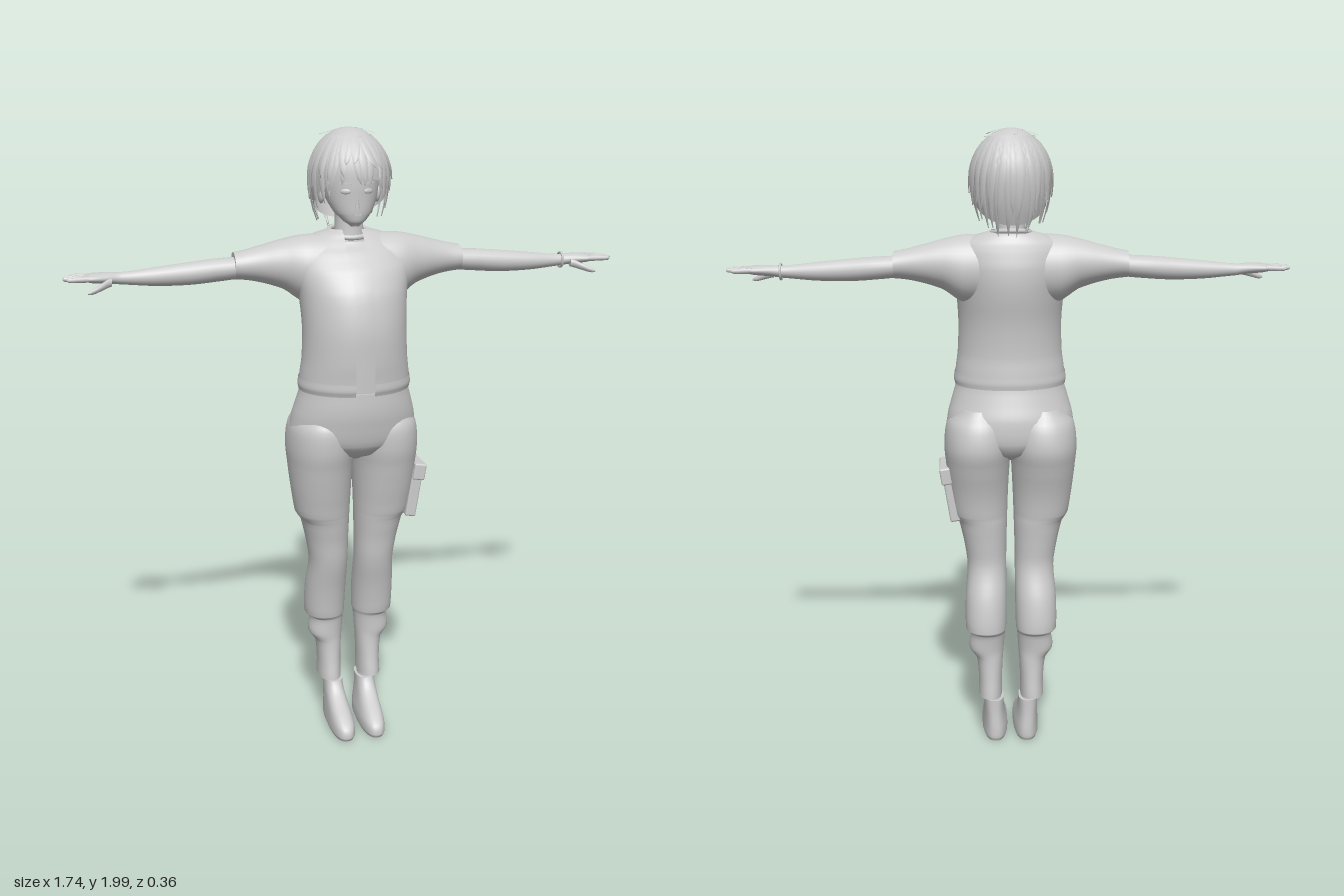
import * as THREE from 'three';
import { RoundedBoxGeometry } from 'three/addons/geometries/RoundedBoxGeometry.js';

const grey = new THREE.MeshStandardMaterial({ color: 0xcccccc, side: THREE.DoubleSide });
grey.name = 'light grey';

// Smooth loft through sections [t, a0, a1, b0, b1], t ascending along 'y' (a = x, b = z) or 'x' (a = y, b = z).
// gap leaves an opening of that half width at the +b side.
function loft(sections, { axis = 'y', n = 36, steps = 4, power = 2, gap = 0, cap = true } = {}) {
  const rows = [];
  const last = sections.length - 1;
  const at = i => sections[Math.max(0, Math.min(last, i))];
  for (let i = 0; i < last; i++)
    for (let k = 0; k < steps + (i === last - 1 ? 1 : 0); k++) {
      const u = k / steps;
      rows.push(at(i).map((p1, c) => {
        const p0 = at(i - 1)[c], p2 = at(i + 1)[c], p3 = at(i + 2)[c];
        if (c === 0) return p1 + (p2 - p1) * u;
        return 0.5 * (2 * p1 + (p2 - p0) * u + (2 * p0 - 5 * p1 + 4 * p2 - p3) * u * u + (3 * p1 - p0 - 3 * p2 + p3) * u * u * u);
      }));
    }
  const pos = [], idx = [];
  const put = (t, a, b) => pos.push(...(axis === 'y' ? [a, t, b] : [t, a, b])) / 3 - 1;
  const tri = (a, b, c) => (axis === 'y' ? idx.push(a, b, c) : idx.push(a, c, b));
  const se = v => Math.sign(v) * Math.abs(v) ** (2 / power);
  const cols = gap ? n + 1 : n;
  const ring = ([t, a0, a1, b0, b1]) => {
    const g = gap ? Math.asin(Math.min(0.9, gap / ((a1 - a0) / 2))) : 0;
    for (let j = 0; j < cols; j++) {
      const th = Math.PI / 2 + g + (j / n) * (2 * Math.PI - 2 * g);
      put(t, (a0 + a1) / 2 + (a1 - a0) / 2 * se(Math.cos(th)), (b0 + b1) / 2 + (b1 - b0) / 2 * se(Math.sin(th)));
    }
  };
  rows.forEach(ring);
  for (let i = 0; i < rows.length - 1; i++)
    for (let j = 0; j < n; j++) {
      const k = (j + 1) % cols, p = i * cols, q = p + cols;
      tri(p + j, q + j, p + k);
      tri(q + j, q + k, p + k);
    }
  if (cap && !gap)
    [[rows[0], false], [rows[rows.length - 1], true]].forEach(([r, top]) => {
      const start = pos.length / 3;
      ring(r);
      const mid = put(r[0], (r[1] + r[2]) / 2, (r[3] + r[4]) / 2);
      for (let j = 0; j < n; j++) {
        const a = start + j, b = start + (j + 1) % n;
        top ? tri(a, mid, b) : tri(a, b, mid);
      }
    });
  return build(pos, idx);
}

function build(pos, idx) {
  const g = new THREE.BufferGeometry();
  g.setAttribute('position', new THREE.Float32BufferAttribute(pos, 3));
  g.setIndex(idx);
  g.computeVertexNormals();
  return g;
}

function mirrored(geo) {
  const g = geo.clone().scale(-1, 1, 1);
  const a = g.index.array;
  for (let i = 0; i < a.length; i += 3) [a[i + 1], a[i + 2]] = [a[i + 2], a[i + 1]];
  return g;
}

// Sections symmetric in x: [y, halfWidth, zFront, zBack]
const sym = list => list.map(([y, w, f, b]) => [y, -w, w, b, f]);

// Point on the hair volume at a given azimuth and height
function hairPoint(az, y, k = 1) {
  const h = (y - 1.85) / 0.138;
  const r = (h > 0 ? Math.sqrt(Math.max(0, 1 - h * h)) : 1 - 0.2 * h * h) * k;
  return [0.117 * r * Math.cos(az), y, -0.035 + 0.134 * r * Math.sin(az)];
}
const hairEnd = az => 1.75 + Math.sin(az) * (Math.sin(az) > 0 ? 0.085 : 0.06);

function hairCap() {
  const pos = [], idx = [], n = 48, m = 16;
  for (let i = 0; i <= m; i++)
    for (let j = 0; j < n; j++) {
      const az = j / n * Math.PI * 2, u = (i / m) ** 1.6;
      pos.push(...hairPoint(az, 1.988 + (hairEnd(az) + 0.015 - 1.988) * u));
    }
  for (let i = 0; i < m; i++)
    for (let j = 0; j < n; j++) {
      const k = (j + 1) % n, p = i * n, q = p + n;
      idx.push(p + j, p + k, q + j, p + k, q + k, q + j);
    }
  return build(pos, idx);
}

// Pointed ridged lock lying on the hair volume
function hairLock(az, y0, y1, width, curl, lift) {
  const pos = [], idx = [], m = 8;
  for (let i = 0; i <= m; i++) {
    const s = i / m, w = width * Math.sqrt(1 - s) * (0.6 + 0.4 * s);
    for (let j = -1; j <= 1; j++)
      pos.push(...hairPoint(az + curl * s * s + j * w, y0 + (y1 - y0) * s, 1 + lift * s + (j ? 0 : 0.035)));
  }
  for (let i = 0; i < m; i++)
    for (let j = 0; j < 2; j++) {
      const p = i * 3 + j;
      idx.push(p, p + 1, p + 3, p + 1, p + 4, p + 3);
    }
  return build(pos, idx);
}

export function createModel() {
  const model = new THREE.Group();
  const add = (name, geo) => {
    const m = new THREE.Mesh(geo, grey);
    m.name = name;
    model.add(m);
    return m;
  };
  const pair = (name, geo) => {
    add(name + 'Left', geo);
    add(name + 'Right', mirrored(geo));
  };

  // Head and neck
  add('head', loft(sym([[1.7, 0.014, 0.056, 0.025], [1.715, 0.034, 0.067, 0], [1.74, 0.058, 0.072, -0.04], [1.78, 0.078, 0.074, -0.09],
    [1.83, 0.088, 0.076, -0.12], [1.9, 0.088, 0.07, -0.13], [1.96, 0.05, 0.03, -0.09]])));
  add('neck', loft(sym([[1.62, 0.06, 0.02, -0.09], [1.67, 0.046, 0.012, -0.08], [1.76, 0.043, 0.01, -0.075]])));
  add('nose', new THREE.ConeGeometry(0.009, 0.04, 8).rotateX(0.2).translate(0, 1.776, 0.074));
  add('mouth', new THREE.BoxGeometry(0.022, 0.003, 0.006).translate(0, 1.737, 0.069));
  pair('ear', new THREE.SphereGeometry(0.02, 12, 10).scale(0.5, 1.4, 1).translate(0.088, 1.79, -0.03));
  pair('eye', new THREE.SphereGeometry(0.016, 14, 8).scale(1, 0.5, 0.25).rotateY(0.4).translate(0.035, 1.806, 0.068));
  pair('eyebrow', new THREE.BoxGeometry(0.034, 0.004, 0.006).rotateZ(0.15).rotateY(0.4).translate(0.036, 1.829, 0.07));

  // Hair: cap, hanging locks in two layers, loose tufts on the crown
  let seed = 7;
  const rnd = () => (seed = (seed * 16807) % 2147483647) / 2147483647;
  add('hairCap', hairCap());
  for (let layer = 0; layer < 2; layer++)
    for (let i = 0; i < 26; i++) {
      const az = (i + layer * 0.5) / 26 * Math.PI * 2;
      const tip = hairEnd(az) - 0.03 + layer * 0.055 + rnd() * 0.03;
      add('hairLock', hairLock(az, 1.965, tip, 0.17, (rnd() - 0.5) * 0.4, 0.01 + layer * 0.05 + rnd() * 0.05));
    }
  for (let i = 0; i < 6; i++)
    add('crownTuft', hairLock(i * 1.05, 1.985, 1.955 + rnd() * 0.015, 0.3, 0.5, 0.35));

  // Undershirt, open jacket, hem and collar
  add('undershirt', loft(sym([[1.19, 0.168, 0.165, -0.105], [1.3, 0.157, 0.168, -0.1], [1.4, 0.154, 0.168, -0.105], [1.5, 0.16, 0.148, -0.122],
    [1.57, 0.17, 0.11, -0.122], [1.62, 0.155, 0.065, -0.112], [1.65, 0.1, 0.03, -0.1]])));
  add('jacket', loft(sym([[1.235, 0.174, 0.18, -0.115], [1.3, 0.166, 0.186, -0.11], [1.4, 0.163, 0.186, -0.117], [1.5, 0.17, 0.165, -0.135],
    [1.57, 0.183, 0.125, -0.137], [1.62, 0.178, 0.08, -0.127], [1.65, 0.152, 0.048, -0.118], [1.672, 0.105, 0.027, -0.105], [1.685, 0.06, 0.015, -0.092]]),
    { gap: 0.03, n: 56 }));
  add('jacketHem', loft(sym([[1.198, 0.176, 0.176, -0.118], [1.215, 0.179, 0.182, -0.12], [1.238, 0.176, 0.182, -0.118]]), { gap: 0.03, n: 48 }));
  add('collar', new THREE.TorusGeometry(0.062, 0.008, 8, 36).rotateX(Math.PI / 2 + 0.2).translate(0, 1.674, -0.038));

  // Sleeves, arms and hands
  pair('sleeve', loft([[0.07, 1.46, 1.672, -0.115, 0.07], [0.15, 1.465, 1.67, -0.118, 0.065], [0.21, 1.505, 1.658, -0.108, 0.04],
    [0.29, 1.53, 1.637, -0.096, 0.016], [0.36, 1.54, 1.622, -0.09, 0.008]], { axis: 'x' }));
  pair('arm', loft([[0.3, 1.545, 1.61, -0.08, 0], [0.42, 1.535, 1.605, -0.075, 0.001], [0.5, 1.53, 1.598, -0.066, 0.002], [0.6, 1.532, 1.588, -0.056, 0],
    [0.7, 1.541, 1.578, -0.047, -0.007], [0.74, 1.546, 1.58, -0.053, 0.003], [0.785, 1.55, 1.579, -0.061, 0.014], [0.81, 1.555, 1.574, -0.058, 0.01]],
    { axis: 'x', n: 24 }));
  [[-0.051, -0.066, 0.85], [-0.033, -0.036, 0.87], [-0.015, -0.012, 0.872], [0.003, 0.012, 0.86]].forEach(([z0, z1, x1]) => {
    const s = [[0.79, 0.009], [0.83, 0.008], [x1 - 0.006, 0.0065], [x1, 0.002]].map(([x, r]) => {
      const z = z0 + (z1 - z0) * (x - 0.79) / (x1 - 0.79);
      return [x, 1.565 - r, 1.565 + r, z - r, z + r];
    });
    pair('finger', loft(s, { axis: 'x', n: 10, steps: 3 }));
  });
  pair('thumb', loft([[0.73, 1.54, 1.566, -0.015, 0.006], [0.76, 1.532, 1.554, 0.004, 0.025], [0.79, 1.524, 1.54, 0.021, 0.037],
    [0.802, 1.526, 1.532, 0.032, 0.038]], { axis: 'x', n: 12 }));
  add('bracelet', new THREE.TorusGeometry(0.023, 0.004, 8, 24).rotateY(Math.PI / 2).translate(0.705, 1.56, -0.027));

  // Trousers
  add('hips', loft(sym([[0.965, 0.03, 0.06, -0.07], [0.99, 0.12, 0.115, -0.12], [1.03, 0.2, 0.148, -0.142], [1.1, 0.2, 0.165, -0.142],
    [1.15, 0.187, 0.172, -0.127], [1.205, 0.172, 0.172, -0.112]]), { n: 48 }));
  pair('leg', loft([[0.16, 0.03, 0.108, -0.122, 0.02], [0.22, 0.03, 0.107, -0.115, 0.01], [0.29, 0.027, 0.114, -0.11, 0.003], [0.325, 0.024, 0.137, -0.112, 0.005],
    [0.38, 0.02, 0.132, -0.12, 0.008], [0.395, 0.016, 0.148, -0.134, 0.018], [0.5, 0.014, 0.148, -0.12, 0.036], [0.6, 0.014, 0.141, -0.087, 0.06],
    [0.68, 0.013, 0.152, -0.09, 0.072], [0.75, 0.011, 0.168, -0.098, 0.086], [0.78, 0.01, 0.187, -0.103, 0.095], [0.86, 0.007, 0.199, -0.118, 0.113],
    [0.95, 0.002, 0.208, -0.145, 0.132], [1.01, -0.004, 0.212, -0.16, 0.145], [1.08, 0.0, 0.203, -0.148, 0.145], [1.13, 0.03, 0.17, -0.115, 0.12]],
    { power: 2.15 }));
  const pocket = new THREE.Group();
  pocket.name = 'cargoPocket';
  [['pocketBody', 0.035, 0.165, 0.145, -0.01, 0], ['pocketFlap', 0.04, 0.055, 0.16, 0.062, 0.004]].forEach(([name, w, h, d, y, x]) => {
    const m = new THREE.Mesh(new RoundedBoxGeometry(w, h, d, 2, 0.006), grey);
    m.name = name;
    m.position.set(x, y, 0);
    pocket.add(m);
  });
  pocket.position.set(0.192, 0.85, 0.01);
  pocket.rotation.z = -0.16;
  model.add(pocket);

  // Ankles and shoes
  pair('ankle', loft([[0.12, 0.032, 0.083, -0.092, -0.01], [0.2, 0.035, 0.083, -0.09, -0.012]], { n: 24 }));
  pair('shoe', loft([[0, 0.014, 0.09, -0.1, 0.154], [0.012, 0.01, 0.094, -0.105, 0.16], [0.04, 0.011, 0.093, -0.105, 0.152], [0.065, 0.016, 0.091, -0.103, 0.115],
    [0.09, 0.021, 0.089, -0.101, 0.065], [0.115, 0.024, 0.088, -0.1, 0.025], [0.145, 0.025, 0.087, -0.1, 0.002]], { power: 2.5 }));
  return model;
}
